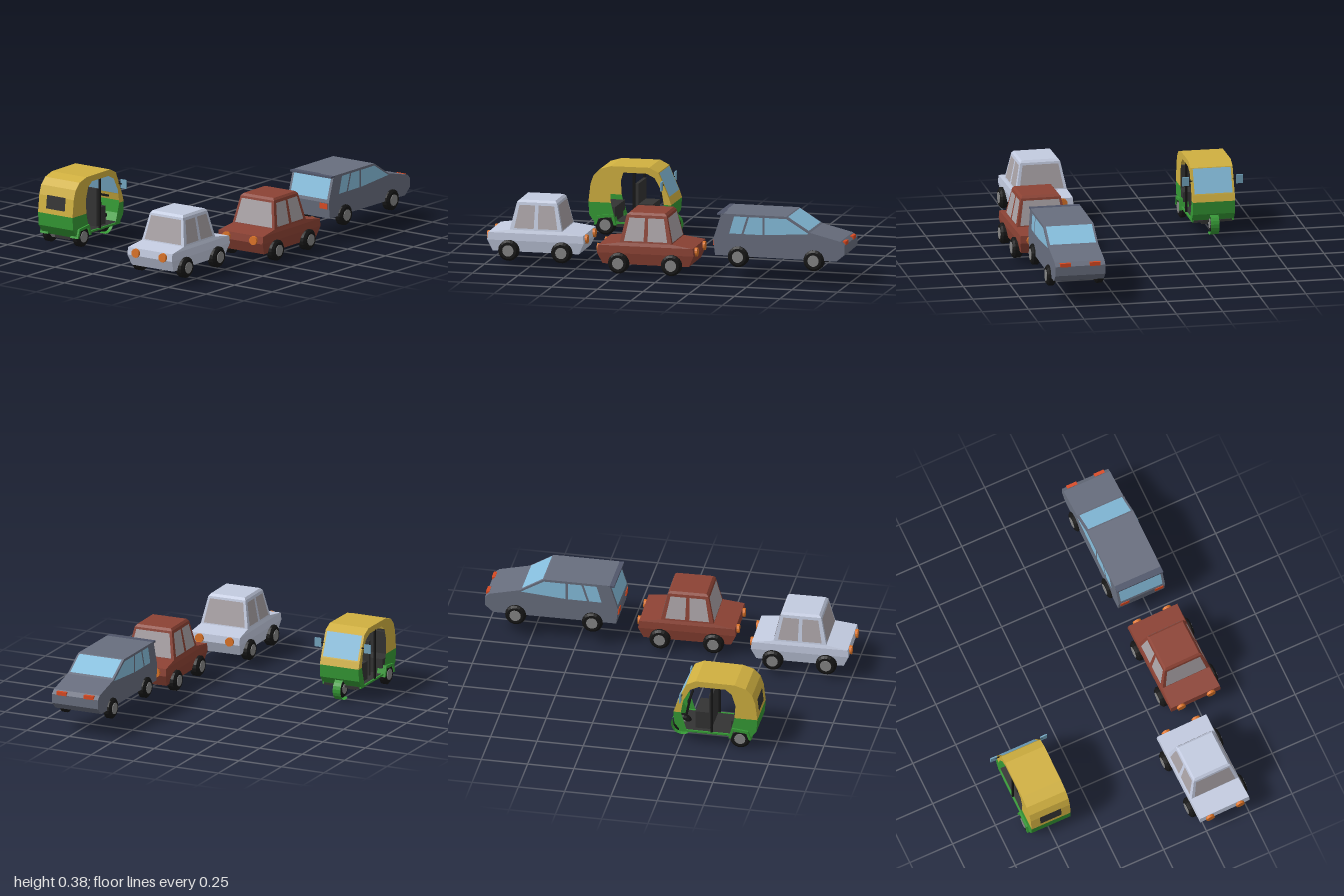
import * as THREE from 'three';

const mats = {};
const mat = (color) => (mats[color] ??= new THREE.MeshStandardMaterial({ color, flatShading: true, side: THREE.DoubleSide }));
const GREEN = 0x359a35, YELLOW = 0xd0b040, DARK = 0x333333, BLACK = 0x161616, ORANGE = 0xdc7428, BLUE = 0x86bedd;

function add(parent, name, geo, color, x = 0, y = 0, z = 0) {
  const m = new THREE.Mesh(geo, mat(color));
  m.name = name;
  m.position.set(x, y, z);
  parent.add(m);
  return m;
}
const box = (p, name, color, w, h, d, x, y, z) => add(p, name, new THREE.BoxGeometry(w, h, d), color, x, y, z);

// Geometry from a list of four-cornered faces
function quads(list) {
  const pos = [];
  for (const [a, b, c, d] of list) pos.push(...a, ...b, ...c, ...a, ...c, ...d);
  const g = new THREE.BufferGeometry();
  g.setAttribute('position', new THREE.Float32BufferAttribute(pos, 3));
  g.computeVertexNormals();
  return g;
}

// Strip swept across x along a [z, y] profile
function band(pts, hw) {
  const faces = [];
  for (let i = 0; i < pts.length - 1; i++) {
    const [z0, y0] = pts[i], [z1, y1] = pts[i + 1];
    faces.push([[-hw, y0, z0], [hw, y0, z0], [hw, y1, z1], [-hw, y1, z1]]);
  }
  return quads(faces);
}

// Flat side panel at x from a [z, y] outline
function sidePanel(pts, x) {
  const g = new THREE.ShapeGeometry(new THREE.Shape(pts.map(([z, y]) => new THREE.Vector2(-z, y))));
  g.rotateY(Math.PI / 2);
  if (x < 0) { g.scale(-1, 1, 1); g.setIndex([...g.index.array].reverse()); g.computeVertexNormals(); }
  return g.translate(x, 0, 0);
}

// Glass pane within a face (corners bl, br, tr, tl), seen from inside and outside
function pane(parent, name, color, corners, u0, u1, v0, v1) {
  const [bl, br, tr, tl] = corners.map((c) => new THREE.Vector3(...c));
  const at = (u, v) => bl.clone().lerp(br, u).lerp(tl.clone().lerp(tr, u), v);
  const n = br.clone().sub(bl).cross(tl.clone().sub(bl)).normalize();
  const face = (o) => [at(u0, v0), at(u1, v0), at(u1, v1), at(u0, v1)].map((p) => p.addScaledVector(n, o).toArray());
  add(parent, name, quads([face(0.002), face(-0.002).reverse()]), color);
}

function wheel(parent, name, r, w, x, y, z) {
  const g = new THREE.Group();
  g.name = name;
  g.position.set(x, y, z);
  const p = [[0, -0.5], [0.8, -0.5], [1, -0.3], [1, 0.3], [0.8, 0.5], [0, 0.5]].map(([a, b]) => new THREE.Vector2(a * r, b * w));
  add(g, 'tire', new THREE.LatheGeometry(p, 18).rotateZ(Math.PI / 2), BLACK);
  add(g, 'hub', new THREE.CylinderGeometry(r * 0.55, r * 0.55, w + 0.006, 14).rotateZ(Math.PI / 2), 0x858585);
  parent.add(g);
}

// Boxy saloon: stacked rectangular rings, open underneath
function saloon(name, color) {
  const car = new THREE.Group();
  car.name = name;
  const rings = [[0.07, 0.135, 0.235], [0.13, 0.146, 0.263], [0.17, 0.144, 0.258], [0.187, 0.137, 0.142],
    [0.333, 0.108, 0.109], [0.345, 0.098, 0.097]].map(([y, x, z]) => [[-x, y, z], [x, y, z], [x, y, -z], [-x, y, -z]]);
  const faces = [];
  for (let i = 0; i < rings.length - 1; i++)
    for (let k = 0; k < 4; k++) {
      const n = (k + 1) % 4;
      faces.push([rings[i][k], rings[i][n], rings[i + 1][n], rings[i + 1][k]]);
    }
  faces.push(rings[rings.length - 1]);
  add(car, 'bodyShell', quads(faces), color);

  // Front and rear screens, two windows per side
  for (let k = 0; k < 4; k++) {
    const n = (k + 1) % 4, c = [rings[3][k], rings[3][n], rings[4][n], rings[4][k]];
    if (k % 2 === 0) pane(car, 'screen', 0xa9a2a6, c, 0.06, 0.94, 0.04, 0.92);
    else for (const [a, b] of [[0.08, 0.46], [0.54, 0.92]]) pane(car, 'sideWindow', 0xa9a2a6, c, a, b, 0.06, 0.9);
  }
  for (const x of [-1, 1]) for (const z of [-1, 1]) {
    wheel(car, 'wheel', 0.056, 0.052, x * 0.142, 0.078, z * 0.144);
    add(car, 'lamp', new THREE.CylinderGeometry(0.024, 0.024, 0.024, 16).rotateX(Math.PI / 2), ORANGE, x * 0.088, 0.145, z * 0.261);
  }
  return car;
}

// Hatchback facing -z, z measured from its middle
function hatchback() {
  const car = new THREE.Group(), hw = 0.135, GREY = 0x686e7e;
  car.name = 'hatchback';
  const prof = [[0.35, 0.13], [0.36, 0.215], [0.315, 0.355], [-0.04, 0.355], [-0.17, 0.275],
    [-0.335, 0.235], [-0.358, 0.215], [-0.358, 0.165], [-0.315, 0.127]];
  add(car, 'bodySkin', band(prof, hw), GREY);
  for (const s of [-1, 1]) {
    add(car, 'bodySide', sidePanel(prof, s * hw), GREY);
    // Side glass, rear to front
    const x = s * hw;
    const glass = [[[0.272, 0.25], [0.205, 0.25], [0.175, 0.343], [0.245, 0.343]],
      [[0.193, 0.25], [0.09, 0.25], [0.09, 0.343], [0.163, 0.343]],
      [[0.078, 0.25], [-0.165, 0.268], [-0.04, 0.343], [0.078, 0.343]]];
    for (const q of glass) {
      const c = q.map(([z, y]) => [x, y, z]);
      pane(car, 'sideWindow', BLUE, s > 0 ? c : [c[1], c[0], c[3], c[2]], 0, 1, 0, 1);
    }
    for (const z of [0.222, -0.192]) wheel(car, 'wheel', 0.056, 0.045, s * 0.13, 0.127, z);
    box(car, 'rearLamp', 0xd84a22, 0.05, 0.03, 0.012, s * 0.1, 0.196, 0.357);
    box(car, 'frontLamp', 0xd84a22, 0.058, 0.02, 0.018, s * 0.08, 0.222, -0.35);
  }
  pane(car, 'windscreen', BLUE, [[hw, 0.275, -0.17], [-hw, 0.275, -0.17], [-hw, 0.355, -0.04], [hw, 0.355, -0.04]], 0.04, 0.96, 0.08, 0.95);
  pane(car, 'rearScreen', BLUE, [[-hw, 0.215, 0.36], [hw, 0.215, 0.36], [hw, 0.355, 0.315], [-hw, 0.355, 0.315]], 0.05, 0.95, 0.12, 0.92);
  box(car, 'roofSpoiler', 0x50566a, 0.27, 0.01, 0.035, 0, 0.35, 0.322);
  return car;
}

// Three-wheeled taxi facing -z
function rickshaw() {
  const cab = new THREE.Group(), hw = 0.114;
  cab.name = 'threeWheeler';
  // Roof shell, windscreen and lower tub
  const roof = [[0.663, 0.175], [0.652, 0.27], [0.635, 0.32], [0.6, 0.355], [0.54, 0.373], [0.33, 0.375], [0.28, 0.35]];
  const nose = [[0.222, 0.215], [0.21, 0.178]];
  add(cab, 'roofShell', band(roof, hw), YELLOW);
  add(cab, 'noseBand', band(nose, hw), YELLOW);
  add(cab, 'windscreenFrame', band([[0.28, 0.35], [0.222, 0.215]], hw), YELLOW);
  pane(cab, 'windscreen', BLUE, [[hw, 0.215, 0.222], [-hw, 0.215, 0.222], [-hw, 0.35, 0.28], [hw, 0.35, 0.28]], 0.05, 0.95, 0.04, 0.97);
  const rearTub = [[0.663, 0.175], [0.658, 0.105], [0.62, 0.055]];
  const frontTub = [[0.21, 0.178], [0.215, 0.11], [0.25, 0.065]];
  add(cab, 'rearTub', band(rearTub, hw), GREEN);
  add(cab, 'frontTub', band(frontTub, hw), GREEN);
  pane(cab, 'rearWindow', DARK, [[-hw, 0.175, 0.663], [hw, 0.175, 0.663], [hw, 0.27, 0.652], [-hw, 0.27, 0.652]], 0.23, 0.77, 0.28, 1.04);

  // Open-sided arch, door sills, posts, mirrors and rear wheels
  const opening = [[0.25, 0.178], [0.262, 0.25], [0.3, 0.32], [0.345, 0.342], [0.49, 0.342], [0.525, 0.315], [0.545, 0.25], [0.54, 0.175]];
  for (const s of [-1, 1]) {
    add(cab, 'sideArch', sidePanel([...roof, ...nose, ...opening], s * hw), YELLOW);
    add(cab, 'rearSide', sidePanel([...rearTub, [0.51, 0.06], [0.54, 0.175]], s * hw), GREEN);
    add(cab, 'frontSide', sidePanel([...frontTub, [0.285, 0.065], [0.25, 0.178]], s * hw), GREEN);
    box(cab, 'sill', GREEN, 0.01, 0.01, 0.36, s * 0.109, 0.068, 0.42);
    box(cab, 'post', BLACK, 0.01, 0.275, 0.012, s * 0.109, 0.207, 0.415);
    box(cab, 'mirrorArm', BLACK, 0.03, 0.006, 0.006, s * 0.122, 0.285, 0.255);
    box(cab, 'mirror', 0x74a6c0, 0.037, 0.048, 0.007, s * 0.146, 0.285, 0.254);
    wheel(cab, 'rearWheel', 0.055, 0.04, s * 0.1, 0.055, 0.57);
    const fender = new THREE.Shape([[-0.062, 0.055], [-0.045, 0.105], [0.045, 0.115], [0.062, 0.055], [0.048, 0.055], [0.035, 0.098], [-0.035, 0.092], [-0.048, 0.055]]
      .map(([a, b]) => new THREE.Vector2(a, b)));
    const g = new THREE.ExtrudeGeometry(fender, { depth: 0.05, bevelEnabled: false }).translate(0, 0, -0.025).rotateY(Math.PI / 2);
    add(cab, 'rearFender', g, GREEN, s * 0.1, 0, 0.57);
  }

  // Front wheel under its curved fender
  wheel(cab, 'frontWheel', 0.05, 0.036, 0, 0.053, 0.238);
  add(cab, 'frontFender', new THREE.CylinderGeometry(0.06, 0.06, 0.046, 10, 1, true, Math.PI * 0.5, Math.PI).rotateZ(Math.PI / 2).rotateX(-0.5), GREEN, 0, 0.053, 0.238);

  // Floor, seats and steering
  box(cab, 'floor', DARK, 0.21, 0.012, 0.38, 0, 0.065, 0.43);
  box(cab, 'chassis', DARK, 0.1, 0.03, 0.3, 0, 0.048, 0.45);
  box(cab, 'driverSeat', DARK, 0.15, 0.1, 0.08, 0, 0.12, 0.36);
  box(cab, 'driverBackrest', DARK, 0.17, 0.19, 0.018, 0, 0.185, 0.405);
  box(cab, 'bench', DARK, 0.21, 0.08, 0.1, 0, 0.11, 0.57);
  box(cab, 'benchBackrest', DARK, 0.21, 0.13, 0.02, 0, 0.205, 0.625);
  const column = box(cab, 'steeringColumn', BLACK, 0.012, 0.15, 0.012, 0, 0.14, 0.265);
  column.rotation.x = 0.2;
  box(cab, 'handlebar', BLACK, 0.13, 0.01, 0.01, 0, 0.215, 0.28);
  return cab;
}

export function createModel() {
  const model = new THREE.Group();
  model.name = 'trafficSet';
  const place = (v, x, y, z, yaw = 0) => { v.position.set(x, y, z); v.rotation.y = yaw; model.add(v); };
  place(saloon('whiteSaloon', 0xc3cbe0), 0.36, 0, 0.722, 0.02);
  place(saloon('redSaloon', 0x8c4234), 0.485, -0.012, 0.088, 0.02);
  place(hatchback(), 0.468, 0, -0.64);
  place(rickshaw(), -0.5, 0, 0);
  return model;
}
